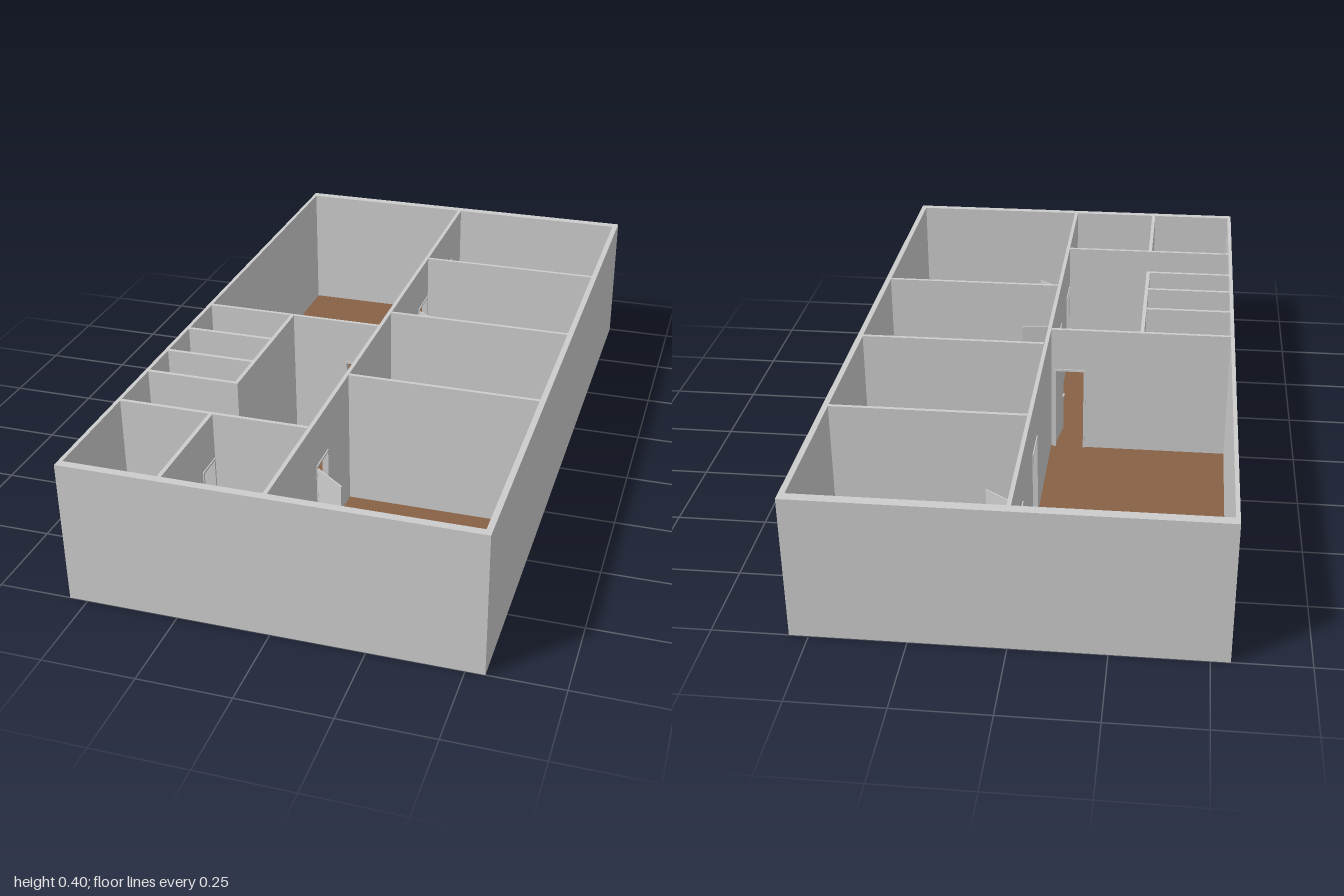
import * as THREE from 'three';

const H = 0.4;      // wall height
const DOOR_H = 0.27; // door opening height
const T = 0.011;    // partition thickness

export function createModel() {
  const model = new THREE.Group();
  const plaster = new THREE.MeshStandardMaterial({ color: 0xcccccc });
  plaster.name = 'light grey plaster';
  const wood = new THREE.MeshStandardMaterial({ color: 0x876145 });
  wood.name = 'brown floor';

  // Box given by its lower and upper limits on each axis
  function block(name, x0, x1, y0, y1, z0, z1, material = plaster, parent = model) {
    const mesh = new THREE.Mesh(new THREE.BoxGeometry(x1 - x0, y1 - y0, z1 - z0), material);
    mesh.position.set((x0 + x1) / 2, (y0 + y1) / 2, (z0 + z1) / 2);
    mesh.name = name;
    parent.add(mesh);
    return mesh;
  }

  // Partition along an axis, split around its door openings [from, to]
  function wall(name, axis, at, from, to, openings = []) {
    const group = new THREE.Group();
    group.name = name;
    model.add(group);
    const piece = (part, a, b, y0, y1, t = T) => axis === 'z'
      ? block(part, at - t / 2, at + t / 2, y0, y1, a, b, plaster, group)
      : block(part, a, b, y0, y1, at - t / 2, at + t / 2, plaster, group);
    let start = from;
    for (const [a, b] of openings) {
      piece('wallSection', start, a, 0, H);
      piece('lintel', a, b, DOOR_H, H);
      // Slim frame standing proud of the wall
      piece('frameJamb', a, a + 0.006, 0.006, DOOR_H, T + 0.006);
      piece('frameJamb', b - 0.006, b, 0.006, DOOR_H, T + 0.006);
      piece('frameHead', a, b, DOOR_H - 0.006, DOOR_H, T + 0.006);
      start = b;
    }
    piece('wallSection', start, to, 0, H);
  }

  // Open door leaf from its hinge to its free edge, with a handle on both faces
  function door(hx, hz, ex, ez) {
    const leaf = new THREE.Group();
    leaf.name = 'doorLeaf';
    const length = Math.hypot(ex - hx, ez - hz);
    block('doorPanel', 0, length, 0.008, DOOR_H - 0.008, -0.002, 0.002, plaster, leaf);
    block('doorHandle', length - 0.018, length - 0.006, 0.125, 0.131, -0.008, 0.008, plaster, leaf);
    leaf.position.set(hx, 0, hz);
    leaf.rotation.y = -Math.atan2(ez - hz, ex - hx);
    model.add(leaf);
  }

  // Outer walls
  block('leftOuterWall', 0.534, 0.55, 0, H, -1, 1);
  block('rightOuterWall', -0.55, -0.539, 0, H, -1, 1);
  block('backOuterWall', -0.539, 0.534, 0, H, -1, -0.972);
  block('frontOuterWall', -0.539, 0.534, 0, H, 0.977, 1);

  // Floors: brown in the rooms and hall, grey in the back room and stalls
  const floors = [
    ['hallFloor', -0.539, -0.005, -0.972, 0.01, wood],
    ['corridorFloor', -0.28, -0.005, 0.01, 0.467, wood],
    ['frontHallFloor', -0.539, -0.005, 0.467, 0.977, wood],
    ['roomFloor', -0.005, 0.534, -0.525, 0.977, wood],
    ['backRoomFloor', -0.005, 0.534, -0.972, -0.525, plaster],
    ['stallFloor', -0.539, -0.28, 0.01, 0.467, plaster],
  ];
  for (const [name, x0, x1, z0, z1, m] of floors) block(name, x0, x1, 0.002, 0.006, z0, z1, m);

  // Long central wall with four doorways
  wall('centralWall', 'z', -0.006, -0.972, 0.977,
    [[-0.845, -0.745], [-0.51, -0.405], [0.215, 0.325], [0.525, 0.62]]);

  // Cross walls between the rooms on the left
  for (const z of [-0.525, -0.09, 0.333]) wall('roomDivider', 'x', z, 0, 0.534);

  // Hall, stalls and small front rooms on the right
  wall('hallWall', 'x', 0.01, -0.539, -0.012, [[-0.115, -0.02]]);
  for (const z of [0.183, 0.333, 0.467]) wall('stallDivider', 'x', z, -0.539, -0.28);
  wall('stallFrontWall', 'z', -0.28, 0.01, 0.4725);
  wall('smallRoomWall', 'x', 0.645, -0.539, -0.012);
  wall('smallRoomDivider', 'z', -0.28, 0.645, 0.977, [[0.655, 0.735]]);

  // Open doors
  door(0.003, -0.748, 0.09, -0.685);
  door(0.003, -0.408, 0.088, -0.345);
  door(0.003, 0.322, 0.11, 0.305);
  door(0.003, 0.617, 0.09, 0.685);
  door(-0.022, 0.018, -0.037, 0.12);

  return model;
}
